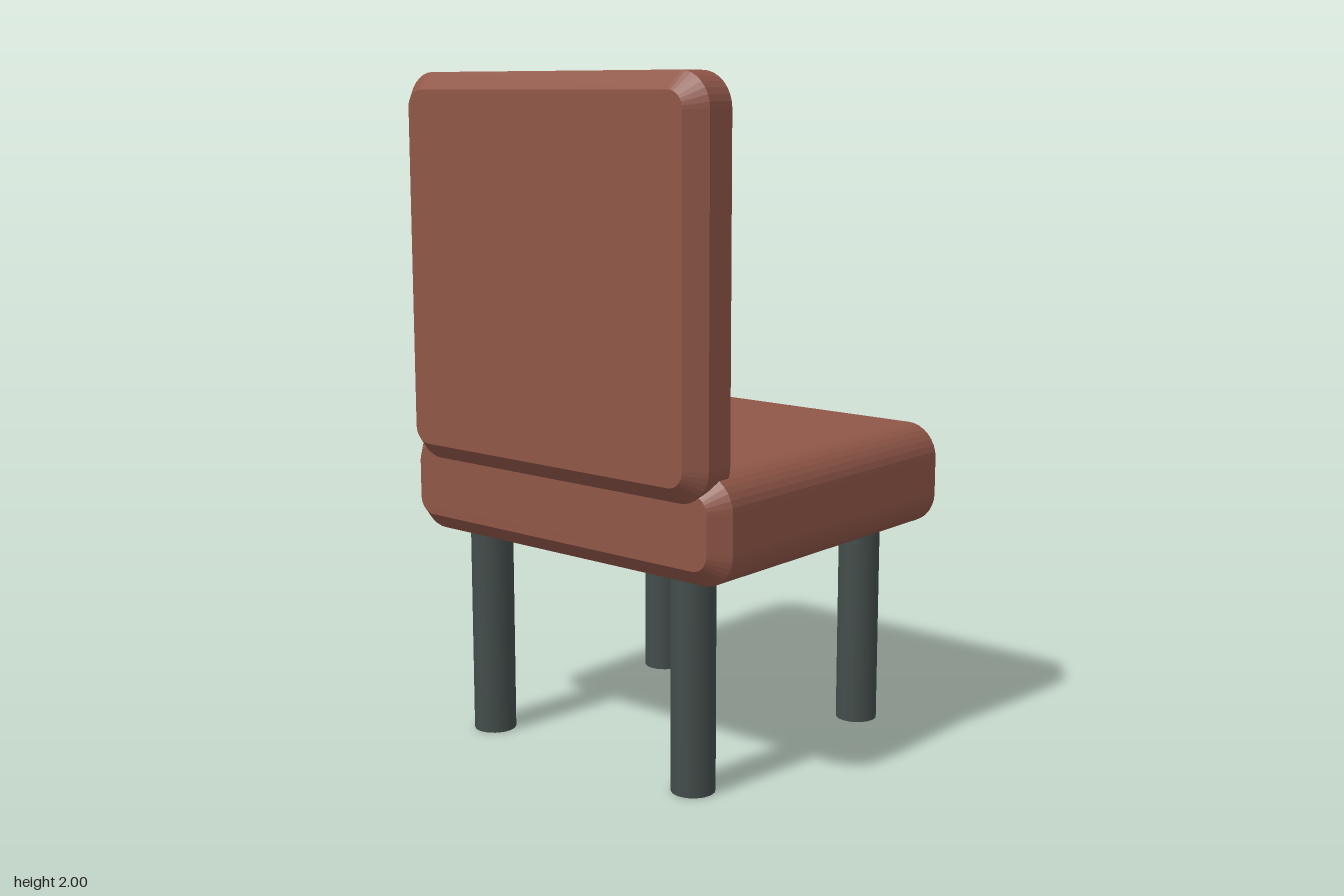
import * as THREE from 'three';

const fabric = new THREE.MeshStandardMaterial({ color: 0x8f5647 });
const metal = new THREE.MeshStandardMaterial({ color: 0x434d4b });
const BEVEL = 0.05;

// Rounded slab with chamfered front and back, given by its outer bounds
function cushion(name, width, y0, y1, z0, z1) {
  const r = 0.05;
  const x = width / 2 - BEVEL - r;
  const bottom = y0 + BEVEL + r;
  const top = y1 - BEVEL - r;
  const shape = new THREE.Shape();
  shape.absarc(x, bottom, r, -Math.PI / 2, 0);
  shape.absarc(x, top, r, 0, Math.PI / 2);
  shape.absarc(-x, top, r, Math.PI / 2, Math.PI);
  shape.absarc(-x, bottom, r, Math.PI, Math.PI * 1.5);
  shape.closePath();
  const geometry = new THREE.ExtrudeGeometry(shape, {
    depth: z1 - z0 - 2 * BEVEL,
    bevelEnabled: true,
    bevelThickness: BEVEL,
    bevelSize: BEVEL,
    bevelSegments: 1,
    curveSegments: 4,
  });
  geometry.translate(0, 0, z0 + BEVEL);
  const mesh = new THREE.Mesh(geometry, fabric);
  mesh.name = name;
  return mesh;
}

function post(name, radius, height, sides) {
  const mesh = new THREE.Mesh(new THREE.CylinderGeometry(radius, radius, height, sides), metal);
  mesh.name = name;
  return mesh;
}

export function createModel() {
  const chair = new THREE.Group();
  chair.name = 'chair';

  chair.add(cushion('seat', 1.22, 0.635, 0.945, -0.57, 0.52));
  chair.add(cushion('backrest', 1.135, 0.865, 2, 0.38, 0.57));

  for (const [side, s] of [['left', 1], ['right', -1]]) {
    // Legs, reaching a little into the seat
    for (const [end, z] of [['Rest', 0.38], ['Open', -0.425]]) {
      const leg = post(`${side}${end}Leg`, 0.064, 0.68, 16);
      leg.position.set(s * 0.4, 0.34, z);
      chair.add(leg);
    }
    // Leaning supports, mostly hidden inside seat and backrest
    const support = post(`${side}BackSupport`, 0.05, 0.6, 8);
    support.position.set(s * 0.43, 1.05, 0.407);
    support.rotation.set(0.12, Math.PI, 0, 'XYZ');
    chair.add(support);
  }
  return chair;
}
